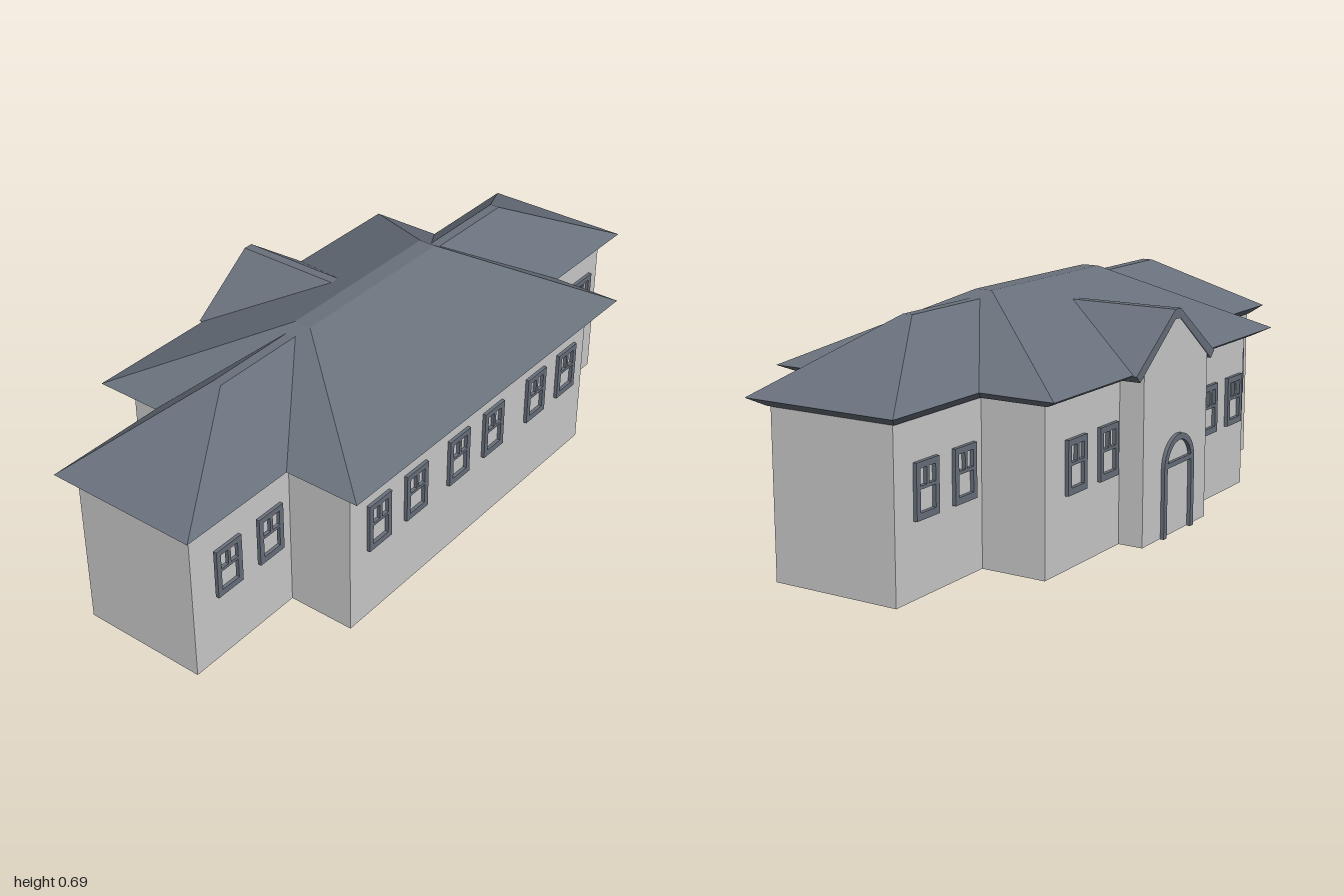
import * as THREE from 'three';

const WALL_TOP = 0.468, SOFFIT = 0.465, EAVE = 0.49;

export function createModel() {
  const house = new THREE.Group();
  house.name = 'house';
  const wallMat = new THREE.MeshStandardMaterial({ name: 'wall grey', color: 0xcccccc });
  const slateMat = new THREE.MeshStandardMaterial({ name: 'slate', color: 0x69717c });

  const add = (parent, name, geometry, material) => {
    const mesh = new THREE.Mesh(geometry, material);
    mesh.name = name;
    parent.add(mesh);
    return mesh;
  };

  // box given by its limits
  const block = (parent, name, mat, x0, x1, y0, y1, z0, z1) => {
    const g = new THREE.BoxGeometry(x1 - x0, y1 - y0, z1 - z0);
    g.translate((x0 + x1) / 2, (y0 + y1) / 2, (z0 + z1) / 2);
    return add(parent, name, g, mat);
  };

  // solid through stacked rectangles [x0, x1, z0, z1, y], bottom to top
  const stack = (rings) => {
    const pos = [];
    const loops = rings.map(([x0, x1, z0, z1, y]) =>
      [[x0, y, z1], [x1, y, z1], [x1, y, z0], [x0, y, z0]]);
    const quad = (a, b, c, d) => pos.push(...a, ...b, ...c, ...a, ...c, ...d);
    for (let i = 0; i < loops.length - 1; i++) {
      const lo = loops[i], hi = loops[i + 1];
      for (let k = 0; k < 4; k++) {
        const n = (k + 1) % 4;
        quad(lo[k], lo[n], hi[n], hi[k]);
      }
    }
    const b = loops[0], t = loops[loops.length - 1];
    quad(b[3], b[2], b[1], b[0]);
    quad(t[0], t[1], t[2], t[3]);
    const g = new THREE.BufferGeometry();
    g.setAttribute('position', new THREE.Float32BufferAttribute(pos, 3));
    g.computeVertexNormals();
    return g;
  };

  const shapeOf = (pts) => new THREE.Shape(pts.map(([a, b]) => new THREE.Vector2(a, b)));

  // extrude a (z, y) outline along x, from x0 to x1
  const extrudeX = (shape, x0, x1) => {
    const g = new THREE.ExtrudeGeometry(shape, { depth: x1 - x0, bevelEnabled: false, curveSegments: 16 });
    g.rotateY(-Math.PI / 2); // shape x -> +z, depth -> -x
    g.translate(x1, 0, 0);
    return g;
  };

  // walls
  block(house, 'mainWalls', wallMat, -0.375, 0.39, 0, WALL_TOP, -0.58, 0.565);
  block(house, 'frontWingWalls', wallMat, -0.2, 0.185, 0, WALL_TOP, 0.565, 0.952);
  block(house, 'backWingWalls', wallMat, -0.18, 0.205, 0, WALL_TOP, -0.955, -0.58);
  add(house, 'porchWalls', extrudeX(shapeOf([
    [-0.2, 0], [0.17, 0], [0.17, 0.495], [0, 0.62], [-0.03, 0.62], [-0.2, 0.495],
  ]), -0.45, -0.375), wallMat);

  // hipped roofs with sloping soffits
  add(house, 'mainRoof', stack([
    [-0.39, 0.41, -0.592, 0.578, SOFFIT],
    [-0.44, 0.46, -0.64, 0.625, EAVE],
    [-0.015, 0.038, -0.285, 0.29, 0.69],
  ]), slateMat);
  add(house, 'frontWingRoof', stack([
    [-0.205, 0.195, 0.3, 0.957, SOFFIT],
    [-0.235, 0.23, 0.3, 1.0, EAVE],
    [-0.016, 0.014, 0.3, 0.625, 0.67],
  ]), slateMat);
  add(house, 'backWingRoof', stack([
    [-0.185, 0.215, -0.957, -0.3, SOFFIT],
    [-0.215, 0.25, -1.0, -0.3, EAVE],
    [0, 0.03, -0.63, -0.3, 0.67],
  ]), slateMat);

  // gabled porch roof, open below
  add(house, 'porchRoof', extrudeX(shapeOf([
    [-0.245, 0.488], [-0.225, 0.468], [-0.03, 0.612], [0, 0.612], [0.19, 0.468],
    [0.21, 0.488], [0, 0.64], [-0.03, 0.64],
  ]), -0.452, -0.1), slateMat);

  // sash window frame, outer edge 0.096 x 0.15, standing 0.011 off the wall
  const rect = (x0, x1, y0, y1) => [[x0, y0], [x1, y0], [x1, y1], [x0, y1]];
  const sash = shapeOf(rect(-0.048, 0.048, -0.075, 0.075));
  sash.holes.push(
    shapeOf(rect(-0.032, 0.032, -0.056, 0.004)),
    shapeOf(rect(-0.032, -0.005, 0.013, 0.058)),
    shapeOf(rect(0.005, 0.032, 0.013, 0.058)),
  );
  const sashGeo = extrudeX(sash, -0.0055, 0.0055);
  const window = (x, y, z) => add(house, 'windowFrame', sashGeo, slateMat).position.set(x, y, z);

  // right-hand row on the +x side
  for (const z of [0.83, 0.665]) window(0.2025, 0.3, z);
  for (const z of [0.445, 0.28, 0.08, -0.09, -0.31, -0.475]) window(0.395, 0.3, z);
  for (const z of [-0.695, -0.86]) window(0.211, 0.3, z);
  // row on the porch side
  for (const z of [0.865, 0.7]) window(-0.206, 0.28, z);
  for (const z of [0.49, 0.325, -0.27, -0.435]) window(-0.381, 0.28, z);
  for (const z of [-0.665, -0.83]) window(-0.186, 0.28, z);

  // arched door frame with a transom bar
  const c = -0.012, spring = 0.2;
  const arch = (r, Kind) => {
    const s = new Kind();
    s.moveTo(c - r, 0);
    s.lineTo(c + r, 0);
    s.lineTo(c + r, spring);
    s.absarc(c, spring, r, 0, Math.PI, false);
    s.lineTo(c - r, 0);
    return s;
  };
  const door = new THREE.Shape();
  door.moveTo(c - 0.088, 0);
  door.lineTo(c - 0.07, 0);
  door.lineTo(c - 0.07, spring);
  door.absarc(c, spring, 0.07, Math.PI, 0, true);
  door.lineTo(c + 0.07, 0);
  door.lineTo(c + 0.088, 0);
  door.lineTo(c + 0.088, spring);
  door.absarc(c, spring, 0.088, 0, Math.PI, false);
  add(house, 'doorArch', extrudeX(door, -0.463, -0.452), slateMat);
  block(house, 'doorTransom', slateMat, -0.462, -0.452, 0.2, 0.214, c - 0.072, c + 0.072);

  return house;
}
